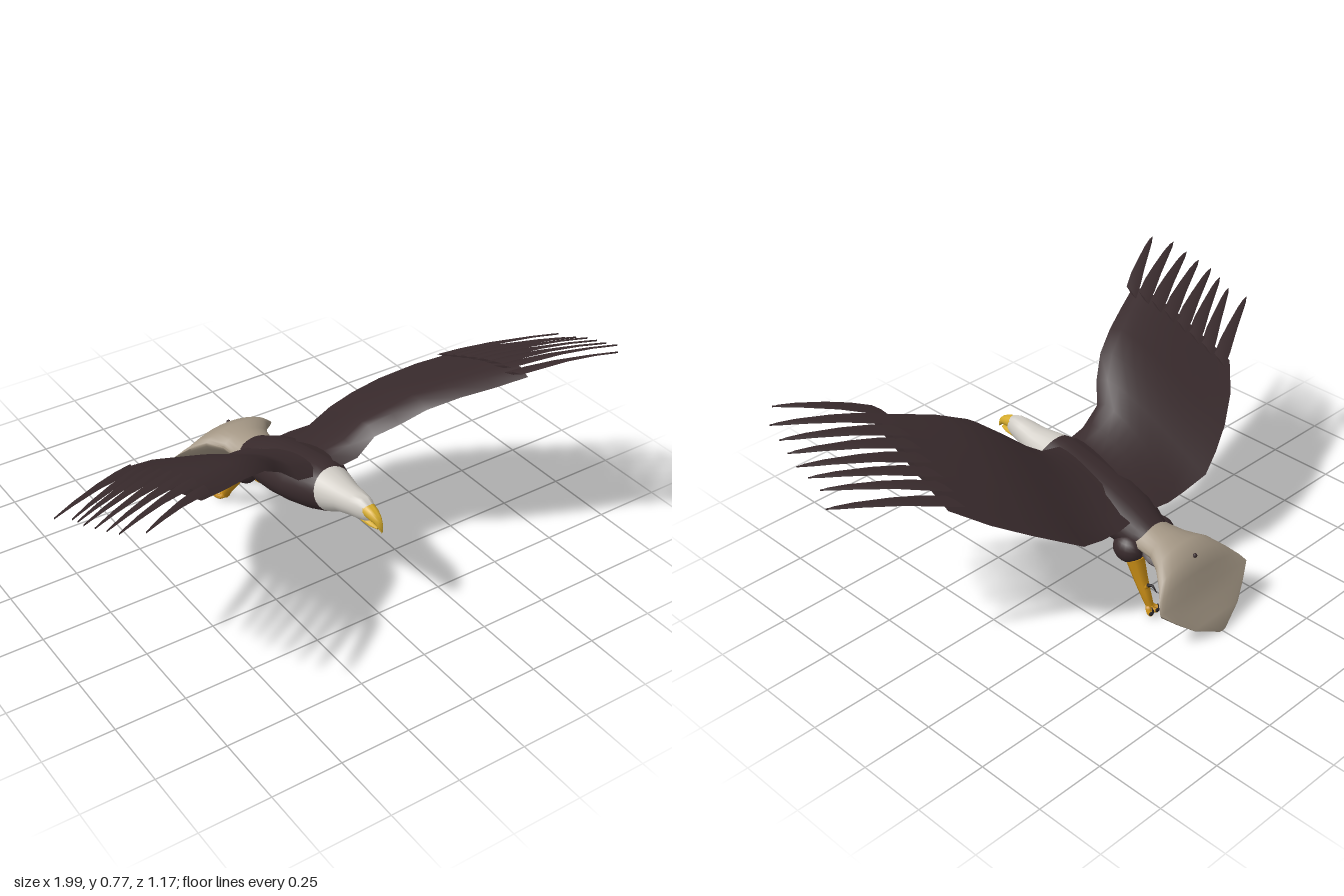
import * as THREE from 'three';
import { toCreasedNormals } from 'three/addons/utils/BufferGeometryUtils.js';

const V = (x, y, z) => new THREE.Vector3(x, y, z);
const mat = (name, color) => new THREE.MeshStandardMaterial({ name, color });
const lerp = THREE.MathUtils.lerp;

// Skin closed rings of points into a capped solid, facing outward
function loft(rings, crease = 0.9) {
  const n = rings[0].length, pos = [], idx = [];
  rings.forEach(r => r.forEach(p => pos.push(p.x, p.y, p.z)));
  for (let i = 0; i < rings.length - 1; i++) {
    for (let j = 0; j < n; j++) {
      const a = i * n + j, b = i * n + (j + 1) % n;
      idx.push(a, b, a + n, b, b + n, a + n);
    }
  }
  const e = (rings.length - 1) * n;
  for (let j = 1; j < n - 1; j++) idx.push(0, j + 1, j, e, e + j, e + j + 1);
  // signed volume tells whether the skin is inside out
  const p = i => V(pos[i * 3], pos[i * 3 + 1], pos[i * 3 + 2]);
  let vol = 0;
  for (let i = 0; i < idx.length; i += 3) vol += p(idx[i]).dot(p(idx[i + 1]).cross(p(idx[i + 2])));
  if (vol < 0) idx.reverse();
  const g = new THREE.BufferGeometry();
  g.setAttribute('position', new THREE.Float32BufferAttribute(pos, 3));
  g.setIndex(idx);
  return toCreasedNormals(g, crease);
}

// Oval section: z, top, bottom, half width, lean of the ring along z
function oval([z, top, bottom, w, lean = 0], n = 24) {
  return Array.from({ length: n }, (_, i) => {
    const a = i / n * Math.PI * 2, s = Math.sin(a);
    return V(w * Math.cos(a), (top + bottom) / 2 + s * (top - bottom) / 2, z + lean * s);
  });
}

// Tail section with sharp side edges: z, top, edge height, bottom, half width
function fan([z, top, edge, bottom, w], n = 28) {
  return Array.from({ length: n }, (_, i) => {
    const a = i / n * Math.PI * 2, s = Math.sin(a);
    const h = (s > 0 ? top - edge : edge - bottom) * Math.pow(Math.abs(s), 1.4);
    return V(w * Math.cos(a), edge + Math.sign(s) * h, z);
  });
}

// Tapered round limb along a curve
function limb(pts, r0, r1, steps = 10, n = 8) {
  const curve = new THREE.CatmullRomCurve3(pts);
  const f = curve.computeFrenetFrames(steps);
  return loft(Array.from({ length: steps + 1 }, (_, i) => {
    const c = curve.getPointAt(i / steps), r = lerp(r0, r1, i / steps);
    return Array.from({ length: n }, (_, j) => {
      const a = j / n * Math.PI * 2;
      return c.clone().addScaledVector(f.normals[i], r * Math.cos(a)).addScaledVector(f.binormals[i], r * Math.sin(a));
    });
  }), 1.2);
}

export function createModel() {
  const model = new THREE.Group();
  model.name = 'soaringEagle';
  const brown = mat('dark brown plumage', 0x382a2c);
  const white = mat('white head feathers', 0xd0ccc5);
  const beige = mat('pale tail feathers', 0xa39684);
  const yellow = mat('beak yellow', 0xd6ac2c);
  const amber = mat('foot amber', 0xc48a14);
  const black = mat('talon black', 0x262224);
  const add = (name, geo, m, parent = model) => {
    const mesh = new THREE.Mesh(geo, m);
    mesh.name = name;
    parent.add(mesh);
    return mesh;
  };

  // Torso and head share the slanted collar ring
  const collar = [0.222, 0.42, 0.275, 0.078, -0.027];
  add('torso', loft([collar, [0.16, 0.42, 0.242, 0.1, -0.01], [0.08, 0.402, 0.222, 0.12], [0, 0.385, 0.205, 0.125],
    [-0.1, 0.36, 0.19, 0.12], [-0.18, 0.33, 0.17, 0.105], [-0.24, 0.298, 0.148, 0.085], [-0.285, 0.275, 0.18, 0.068]].map(r => oval(r))), brown);
  add('head', loft([collar, [0.3, 0.413, 0.305, 0.055], [0.36, 0.418, 0.325, 0.045], [0.4, 0.42, 0.333, 0.036],
    [0.425, 0.412, 0.34, 0.027], [0.44, 0.4, 0.35, 0.018]].map(r => oval(r))), white);

  // Hooked beak
  add('upperBeak', loft([[0.415, 0.412, 0.362, 0.027], [0.45, 0.403, 0.36, 0.023], [0.475, 0.391, 0.357, 0.016],
    [0.49, 0.377, 0.345, 0.01], [0.5, 0.355, 0.336, 0.003]].map(r => oval(r, 14))), yellow);
  add('lowerBeak', loft([[0.41, 0.358, 0.334, 0.022], [0.45, 0.354, 0.336, 0.018], [0.48, 0.349, 0.341, 0.007]].map(r => oval(r, 14))), yellow);

  // Fanned tail, its dark underside and the small mark on top
  add('tail', loft([[-0.255, 0.282, 0.22, 0.17, 0.085], [-0.28, 0.28, 0.225, 0.18, 0.084], [-0.34, 0.275, 0.23, 0.17, 0.094],
    [-0.4, 0.27, 0.225, 0.14, 0.13], [-0.45, 0.25, 0.19, 0.1, 0.168], [-0.48, 0.195, 0.16, 0.075, 0.2],
    [-0.503, 0.14, 0.135, 0.055, 0.217], [-0.53, 0.095, 0.092, 0.04, 0.17], [-0.56, 0.05, 0.045, 0.02, 0.11],
    [-0.59, 0.006, 0.004, 0.001, 0.015]].map(r => fan(r))), beige);
  add('undertail', loft([[-0.25, 0.24, 0.16, 0.06], [-0.31, 0.215, 0.158, 0.08], [-0.38, 0.18, 0.143, 0.06],
    [-0.45, 0.12, 0.096, 0.055], [-0.51, 0.07, 0.05, 0.05], [-0.56, 0.03, 0.017, 0.03]].map(r => oval(r, 12))), brown);
  const mark = add('tailMark', new THREE.SphereGeometry(0.008, 10, 6), brown);
  mark.position.set(0, 0.244, -0.456);

  // Wing stations: leading edge x, y, z then trailing edge x, y, z, then thickness
  const stations = [
    [0.04, 0.395, 0.185, 0.04, 0.29, -0.215, 0.03], [0.12, 0.41, 0.19, 0.12, 0.287, -0.225, 0.04],
    [0.19, 0.47, 0.19, 0.2, 0.288, -0.22, 0.036], [0.25, 0.53, 0.25, 0.3, 0.322, -0.235, 0.03],
    [0.32, 0.59, 0.3, 0.38, 0.37, -0.21, 0.026], [0.42, 0.63, 0.35, 0.47, 0.42, -0.17, 0.022],
    [0.52, 0.655, 0.395, 0.58, 0.48, -0.1, 0.018], [0.63, 0.685, 0.44, 0.675, 0.54, -0.01, 0.012]];
  // Point on a wing section, u from leading to trailing edge, side -1..1
  const wingPoint = (s, u, side) => V(
    lerp(s[0], s[3], u),
    lerp(s[1], s[4], u) + 0.035 * Math.sin(Math.PI * Math.pow(u, 0.6)) + side * s[6] / 2 * Math.sin(Math.PI * Math.sqrt(u)),
    lerp(s[2], s[5], u));
  const chord = 10;
  const wingRing = s => Array.from({ length: chord * 2 }, (_, i) =>
    i <= chord ? wingPoint(s, i / chord, 1) : wingPoint(s, 2 - i / chord, -1));
  // Feather tips, front to rear
  const tips = [[0.89, 0.765, 0.58], [0.945, 0.745, 0.52], [0.955, 0.72, 0.46], [0.965, 0.7, 0.405],
    [0.975, 0.68, 0.35], [0.97, 0.66, 0.3], [0.965, 0.635, 0.25], [0.995, 0.61, 0.185]];

  for (const side of [1, -1]) {
    const label = side > 0 ? 'left' : 'right';
    const flip = p => { p.x *= side; return p; };
    const wing = new THREE.Group();
    wing.name = label + 'Wing';
    model.add(wing);
    add('wingPanel', loft(stations.map(s => wingRing(s).map(flip)), 1), brown, wing);

    // Separate primary feathers spread beyond the panel
    tips.forEach((t, i) => {
      const base = wingPoint(stations[7], 0.05 + i * 0.9 / 7, 0), tip = V(...t);
      base.x -= 0.04;
      base.z -= 0.01;
      const rings = [[0, 0.034], [0.2, 0.034], [0.45, 0.025], [0.75, 0.016], [0.92, 0.009], [1, 0.001]].map(([k, w]) => {
        const c = base.clone().lerp(tip, k);
        c.y += 0.012 * Math.sin(Math.PI * k);
        const h = 0.003 + w * 0.06;
        return [V(c.x + w * 0.3, c.y + w * 0.3, c.z + w), V(c.x, c.y + h, c.z),
          V(c.x - w * 0.3, c.y - w * 0.3, c.z - w), V(c.x, c.y - h, c.z)].map(flip);
      });
      add('primaryFeather', loft(rings), brown, wing);
    });

    // Feathered thigh, shank and clawed foot
    const leg = new THREE.Group();
    leg.name = label + 'Leg';
    model.add(leg);
    const path = pts => pts.map(p => flip(V(...p)));
    const thigh = add('thigh', new THREE.SphereGeometry(1, 16, 12), brown, leg);
    thigh.scale.set(0.045, 0.05, 0.06);
    thigh.position.set(side * 0.078, 0.197, -0.225);
    add('shank', limb(path([[0.08, 0.17, -0.26], [0.085, 0.1, -0.295], [0.09, 0.05, -0.325], [0.09, 0.02, -0.34]]), 0.032, 0.014), amber, leg);
    for (const dx of [-0.03, 0, 0.03]) {
      const x = 0.09 + dx;
      add('toe', limb(path([[0.09, 0.025, -0.335], [0.09 + dx * 0.6, 0.011, -0.352], [x, 0.016, -0.373]]), 0.011, 0.008, 6), amber, leg);
      add('talon', limb(path([[x, 0.016, -0.372], [x, 0.032, -0.383], [x, 0.05, -0.376]]), 0.007, 0.001, 6), black, leg);
    }
    add('hindToe', limb(path([[0.09, 0.035, -0.325], [0.09, 0.075, -0.315], [0.09, 0.1, -0.33]]), 0.01, 0.007, 8), amber, leg);
    add('hindTalon', limb(path([[0.09, 0.099, -0.329], [0.09, 0.109, -0.35], [0.09, 0.09, -0.37]]), 0.007, 0.001, 6), black, leg);
  }
  return model;
}
